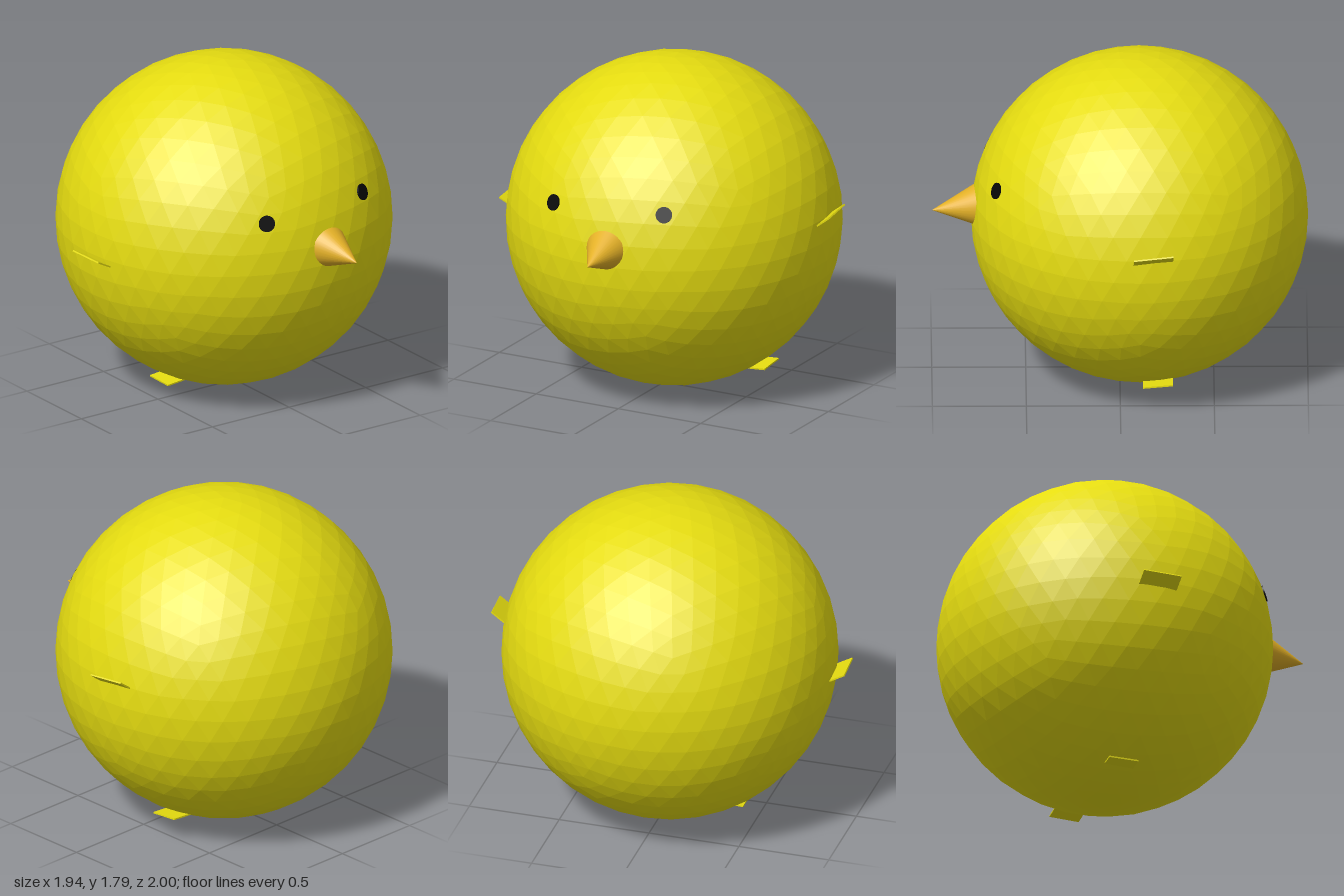
import * as THREE from 'three';

export function createModel() {
  const group = new THREE.Group();
  const material = (name, color, options = {}) => {
    const m = new THREE.MeshStandardMaterial({ color, ...options });
    m.name = name;
    return m;
  };
  const yellow = material('yellow', 0xe5dc10, { flatShading: true });
  const orange = material('orange', 0xe3b026);
  const black = material('black', 0x060606);
  const vec = (p) => new THREE.Vector3(...p);
  const up = new THREE.Vector3(0, 1, 0);

  const add = (name, geometry, mat) => {
    const mesh = new THREE.Mesh(geometry, mat);
    mesh.name = name;
    group.add(mesh);
    return mesh;
  };

  // Round faceted body, with one corner of the icosahedron at the top
  const radius = 0.897;
  const centre = new THREE.Vector3(0.005, 0.9, -0.105);
  const ball = new THREE.IcosahedronGeometry(radius, 7);
  ball.rotateZ(Math.atan(2 / (1 + Math.sqrt(5))));
  add('body', ball, yellow).position.copy(centre);

  // Eyes: thin discs lying on the body
  for (const [name, x, y] of [['rightEye', -0.285, 1.175], ['leftEye', 0.365, 1.2]]) {
    const dx = x - centre.x, dy = y - centre.y;
    const normal = new THREE.Vector3(dx, dy, Math.sqrt(radius ** 2 - dx * dx - dy * dy)).normalize();
    const eye = add(name, new THREE.CylinderGeometry(0.044, 0.044, 0.009, 24), black);
    eye.position.copy(centre).addScaledVector(normal, radius);
    eye.quaternion.setFromUnitVectors(up, normal);
  }

  // Beak: smooth cone, slightly tilted down
  const base = vec([0.07, 0.985, 0.765]);
  const axis = vec([0.088, 0.963, 1]).sub(base);
  const beak = add('beak', new THREE.ConeGeometry(0.112, axis.length(), 32), orange);
  beak.position.copy(base).addScaledVector(axis, 0.5);
  beak.quaternion.setFromUnitVectors(up, axis.normalize());

  // Wings and feet: thin plates sunk into the body, set by their outer edge and outward direction
  const plate = (name, back, front, outward, depth) => {
    const a = vec(back), b = vec(front);
    const z = b.clone().sub(a);
    const width = z.length();
    z.normalize();
    const y = z.clone().cross(vec(outward)).normalize();
    const x = y.clone().cross(z);
    const mesh = add(name, new THREE.BoxGeometry(depth, 0.008, width), yellow);
    mesh.quaternion.setFromRotationMatrix(new THREE.Matrix4().makeBasis(x, y, z));
    mesh.position.copy(a).add(b).multiplyScalar(0.5).addScaledVector(x, -depth / 2);
  };
  plate('leftWing', [0.945, 1.075, -0.28], [0.963, 1.06, -0.07], [0.8, 0.6, 0], 0.15);
  plate('rightWing', [-0.97, 0.918, -0.12], [-0.952, 0.91, 0.09], [-0.88, 0.47, 0], 0.15);
  plate('leftFoot', [0.545, 0.141, -0.28], [0.545, 0.127, -0.12], [1, 0.07, 0], 0.16);
  plate('rightFoot', [-0.425, 0.063, -0.18], [-0.42, 0.056, -0.02], [-1, -0.08, 0], 0.16);

  return group;
}
